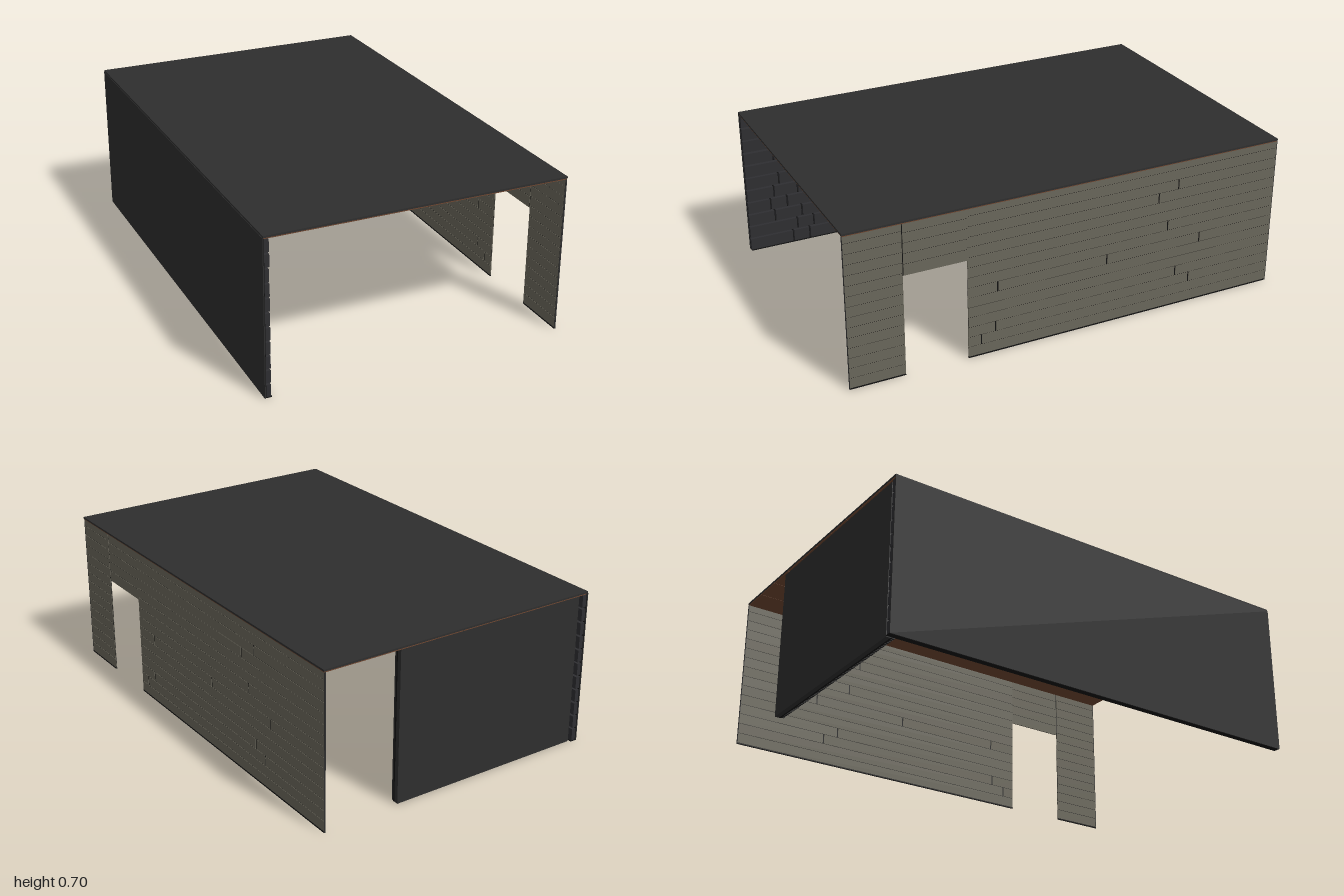
import * as THREE from 'three';

const mat = (name, color, extra = {}) => {
  const m = new THREE.MeshStandardMaterial({ color, ...extra });
  m.name = name;
  return m;
};

export function createModel() {
  const charcoal = mat('charcoal', 0x2e2e2e);
  const brickGrey = mat('brick grey', 0x2e2e31);
  const black = mat('seam black', 0x121212);
  const slatGrey = mat('slat grey', 0x282828);
  const beige = mat('beige board', 0x69665a);
  const wood = mat('ceiling wood', 0x6f4731);
  const handleWood = mat('handle wood', 0x875c40);

  const model = new THREE.Group();
  model.name = 'garage';

  const group = (name) => {
    const g = new THREE.Group();
    g.name = name;
    model.add(g);
    return g;
  };
  // Box given by its minimum and maximum along each axis
  const box = (parent, name, material, [x0, x1], [y0, y1], [z0, z1]) => {
    const mesh = new THREE.Mesh(new THREE.BoxGeometry(x1 - x0, y1 - y0, z1 - z0), material);
    mesh.position.set((x0 + x1) / 2, (y0 + y1) / 2, (z0 + z1) / 2);
    mesh.name = name;
    parent.add(mesh);
    return mesh;
  };
  let seed = 11;
  const random = () => (seed = (seed * 16807) % 2147483647) / 2147483647;

  // Roof slab with wooden planks on the underside
  const roof = group('roof');
  box(roof, 'roofSlab', charcoal, [-0.66, 0.66], [0.692, 0.7], [-1, 1]);
  const planks = 10, plankW = 1.316 / planks;
  for (let i = 0; i < planks; i++) {
    const x = -0.658 + i * plankW;
    box(roof, 'ceilingPlank', wood, [x + 0.0007, x + plankW - 0.0007], [0.687, 0.692], [-0.998, 0.998]);
  }
  // Small dark fittings under the ceiling
  for (const [x, z, len] of [[-0.49, 0.8, 0.05], [-0.5, 0.6, 0.09], [-0.5, 0.37, 0.05]])
    box(roof, 'ceilingFitting', black, [x - 0.014, x + 0.014], [0.684, 0.687], [z - len / 2, z + len / 2]);
  box(roof, 'ceilingFitting', black, [0.456, 0.484], [0.684, 0.687], [0.57, 0.63]);

  // Brick wall: flat outer skin, dark mortar face, protruding bricks with open joints
  const brickWall = group('brickWall');
  box(brickWall, 'outerSkin', charcoal, [-0.662, -0.658], [0.004, 0.692], [-1, 1]);
  box(brickWall, 'mortarFace', black, [-0.658, -0.655], [0.004, 0.69], [-0.998, 0.998]);
  const courses = 11, courseH = 0.0622, joint = 0.008;
  for (let r = 0; r < courses; r++) {
    const y0 = 0.01 + r * courseH - 0.002;
    const y1 = Math.min(y0 + courseH - joint, 0.685);
    let z = -0.998;
    while (z < 0.99) {
      let end = z + 0.08 + random() * 0.09;
      if (end > 0.93) end = 0.998 + joint;
      const face = -0.637 + random() * 0.003;
      box(brickWall, 'brick', brickGrey, [-0.655, face], [y0, y1], [z, end - joint]);
      z = end;
    }
  }
  box(brickWall, 'footStrip', black, [-0.655, -0.632], [0.004, 0.008], [-0.998, 0.998]);

  // Boarded wall with a doorway: dark core with rows of boards on both faces
  const boardWall = group('boardWall');
  const bottom = 0.008, top = 0.688, pitch = 0.0463, gap = 0.002;
  const coreX = [0.6535, 0.6555], boardX = [0.652, 0.657];
  const door = [0.478, 0.757], doorTop = 0.46;
  const core = (y0, z0, z1) => box(boardWall, 'wallCore', black, coreX, [y0, top], [z0, z1]);
  core(0.005, -0.998, door[0]);
  core(0.005, door[1], 0.998);
  core(doorTop, door[0], door[1]);

  // Positions of the upright board joints, by row
  const joints = {
    1: [0.42], 2: [0.355, -0.58], 3: [-0.51], 6: [0.345, -0.165, -0.625],
    8: [-0.46], 11: [-0.41], 12: [-0.505],
  };
  for (let r = 0; bottom + r * pitch < top; r++) {
    const y = [bottom + r * pitch + gap / 2, Math.min(bottom + (r + 1) * pitch - gap / 2, top)];
    const cuts = [door[0], ...(joints[r] || []), -0.998];
    for (let i = 0; i + 1 < cuts.length; i++) {
      const z1 = i ? cuts[i] - 0.003 : cuts[i];
      const z0 = i + 2 < cuts.length ? cuts[i + 1] + 0.003 : cuts[i + 1];
      box(boardWall, 'board', beige, boardX, y, [z0, z1]);
    }
    box(boardWall, 'board', beige, boardX, y, [door[1], 0.998]);
  }
  // Boards above the doorway
  const lintelRows = [doorTop, 0.51, 0.557, 0.603, 0.648, top];
  for (let i = 0; i + 1 < lintelRows.length; i++)
    box(boardWall, 'lintelBoard', beige, boardX,
      [lintelRows[i] + (i ? gap / 2 : 0), lintelRows[i + 1] - gap / 2], [door[0], door[1] - 0.004]);
  // Dark sills and end caps
  for (const z of [[-0.998, door[0]], [door[1], 0.998]])
    box(boardWall, 'sill', black, [0.651, 0.658], [0.003, 0.008], z);
  for (const z of [-0.999, 0.999])
    box(boardWall, 'endCap', charcoal, [0.651, 0.658], [0.003, top], [z - 0.001, z + 0.001]);

  // Slatted back panel with two handles
  const panel = group('backPanel');
  box(panel, 'panelBoard', charcoal, [-0.62, 0.3], [0.008, 0.688], [-0.992, -0.972]);
  box(panel, 'slatBacking', black, [-0.62, 0.3], [0.008, 0.688], [-0.972, -0.965]);
  const slats = 65, slatPitch = 0.92 / slats;
  for (let i = 0; i < slats; i++) {
    const x = -0.62 + (i + 0.5) * slatPitch;
    box(panel, 'slat', slatGrey, [x - 0.0051, x + 0.0051], [0.009, 0.687], [-0.965, -0.953]);
  }
  for (const x of [-0.574, 0.256]) {
    box(panel, 'handlePlate', wood, [x - 0.0125, x + 0.0125], [0.303, 0.433], [-0.953, -0.945]);
    box(panel, 'handle', handleWood, [x - 0.009, x + 0.009], [0.308, 0.428], [-0.945, -0.938]);
  }
  return model;
}
